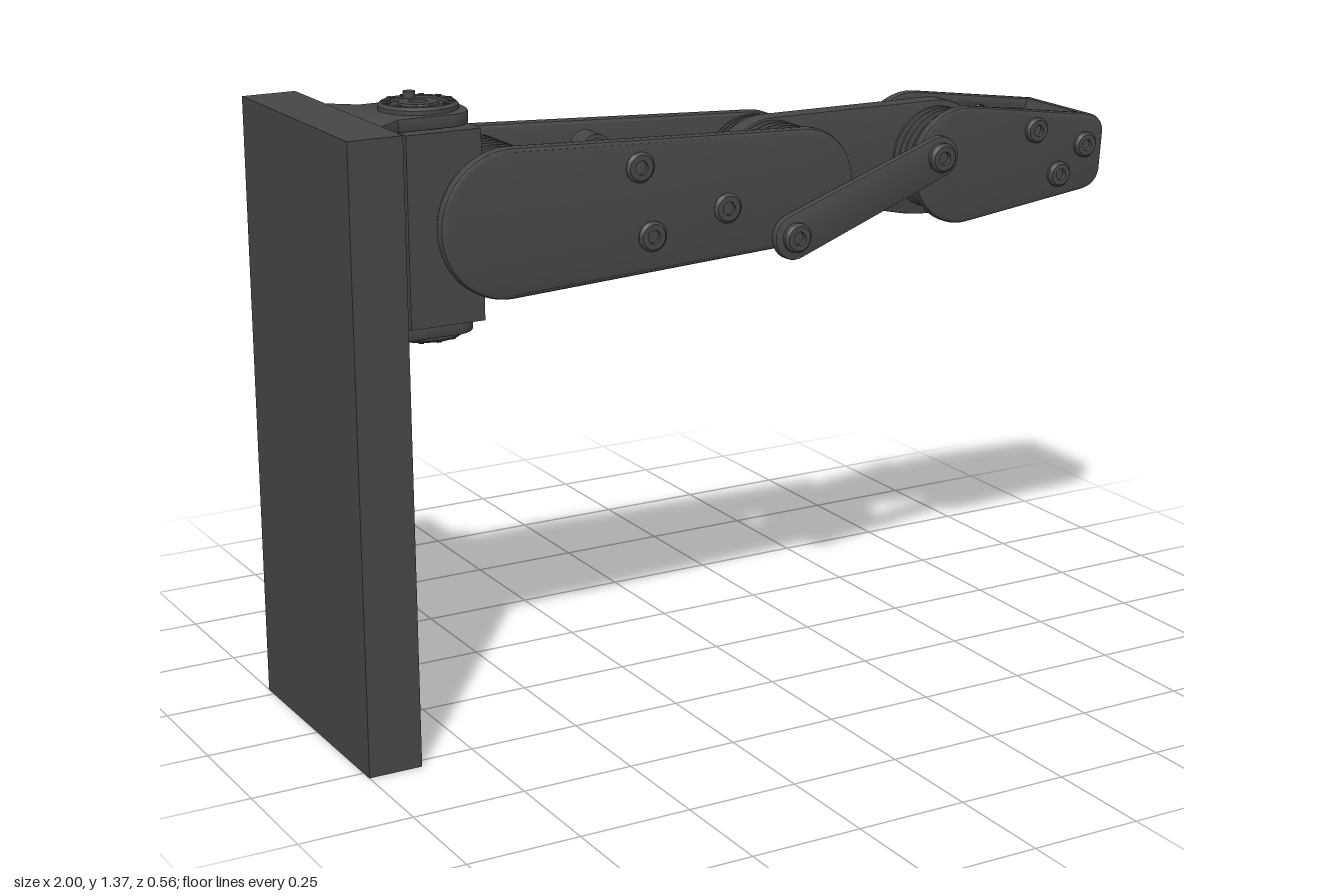
import * as THREE from 'three';
import { toCreasedNormals } from 'three/addons/utils/BufferGeometryUtils.js';

export function createModel() {
  const root = new THREE.Group();
  root.name = 'roboticFinger';
  const graphite = new THREE.MeshStandardMaterial({ color: 0x464646 });
  graphite.name = 'graphite';

  const add = (name, geo) => {
    const m = new THREE.Mesh(toCreasedNormals(geo, 0.6), graphite);
    m.name = name;
    root.add(m);
    return m;
  };
  const box = (name, x0, x1, y0, y1, z0, z1) => add(name,
    new THREE.BoxGeometry(x1 - x0, y1 - y0, z1 - z0)
      .translate((x0 + x1) / 2, (y0 + y1) / 2, (z0 + z1) / 2));

  // Flat part in the xy plane between two depths, with a bevelled rim
  const slab = (shape, z0, z1, bevel = 0.006) => new THREE.ExtrudeGeometry(shape, {
    depth: z1 - z0 - 2 * bevel, bevelEnabled: bevel > 0, bevelSize: bevel,
    bevelThickness: bevel, bevelOffset: -bevel, bevelSegments: 2, curveSegments: 20,
  }).translate(0, 0, z0 + bevel);

  // Outline wrapped around two circles
  const wrap = (x1, y1, r1, x2, y2, r2) => {
    const t = Math.atan2(y2 - y1, x2 - x1);
    const a = Math.acos((r1 - r2) / Math.hypot(x2 - x1, y2 - y1));
    const s = new THREE.Shape();
    s.absarc(x2, y2, r2, t - a, t + a, false);
    s.absarc(x1, y1, r1, t + a, t - a + 2 * Math.PI, false);
    return s;
  };

  const lathe = (pts, seg = 40) =>
    new THREE.LatheGeometry(pts.map(([r, h]) => new THREE.Vector2(r, h)), seg);
  const pin = (name, x, y, r, z0, z1) => add(name,
    new THREE.CylinderGeometry(r, r, z1 - z0, 28).rotateX(Math.PI / 2).translate(x, y, (z0 + z1) / 2));

  // Screw head with a socket, facing +z or -z
  const screw = (name, x, y, z, r, h, side = 1) => add(name,
    lathe([[r, 0], [r, h * 0.6], [r * 0.82, h], [r * 0.45, h], [r * 0.45, h * 0.3], [0, h * 0.3]], 24)
      .rotateX(side * Math.PI / 2).translate(x, y, z));

  // Stack of grooved cable discs about a z axis
  const pulley = (name, x, y, r, z0, z1, grooves) => {
    const pts = [[0, z0]];
    const step = (z1 - z0) / grooves;
    for (let i = 0; i < grooves; i++) {
      const z = z0 + i * step;
      pts.push([r, z], [r, z + step * 0.3], [r - 0.022, z + step * 0.45], [r - 0.022, z + step * 0.85]);
    }
    pts.push([r, z1 - step * 0.12], [r, z1], [0, z1]);
    add(name, lathe(pts, 48).rotateX(Math.PI / 2).translate(x, y, 0));
  };

  // Mounting wall
  box('mountingPlate', -1, -0.88, 0, 1.35, -0.28, 0.28);

  // Flared brackets and pivot hubs, above and below the knuckle
  const bracket = new THREE.Shape();
  bracket.moveTo(-0.885, -0.16);
  bracket.lineTo(-0.81, -0.1);
  bracket.lineTo(-0.68, -0.1);
  bracket.quadraticCurveTo(-0.625, -0.09, -0.625, 0);
  bracket.quadraticCurveTo(-0.625, 0.09, -0.68, 0.1);
  bracket.lineTo(-0.81, 0.1);
  bracket.lineTo(-0.885, 0.16);
  bracket.closePath();
  const midY = 1.108;
  for (const s of [1, -1]) {
    const where = s > 0 ? 'upper' : 'lower';
    add(where + 'Bracket', slab(bracket, -0.014, 0.014, 0.003)
      .rotateX(Math.PI / 2).translate(0, midY + s * 0.222, 0));
    const hub = lathe([[0.085, 0], [0.085, 0.04], [0.078, 0.046], [0.062, 0.046], [0.062, 0.038],
      [0.045, 0.038], [0.042, 0.046], [0.02, 0.046], [0.02, 0.03], [0, 0.03]]);
    if (s < 0) hub.rotateX(Math.PI);
    add(where + 'PivotHub', hub.translate(-0.72, midY + s * 0.205, 0));
    // ring of notch teeth round the hub
    for (let i = 0; i < 12; i++) {
      const a = i * Math.PI / 6;
      add(where + 'HubTooth', new THREE.BoxGeometry(0.014, 0.006, 0.012).rotateY(-a)
        .translate(-0.72 + 0.07 * Math.cos(a), midY + s * 0.25, 0.07 * Math.sin(a)));
    }
    add(where + 'StopPin', new THREE.CylinderGeometry(0.02, 0.02, 0.07, 20)
      .translate(-0.65, midY + s * 0.195, -0.095));
  }
  add('pivotTopPin', new THREE.CylinderGeometry(0.013, 0.013, 0.04, 16).translate(-0.72, 1.353, -0.045));

  // Knuckle turning between the brackets
  box('knuckle', -0.8, -0.63, 0.9, 1.312, -0.113, 0.113);
  pulley('basePulley', -0.58, midY, 0.155, -0.085, 0.085, 7);
  for (const s of [1, -1]) {
    pin('basePulleyHub', -0.58, midY, 0.115, s > 0 ? 0.085 : -0.13, s > 0 ? 0.125 : -0.085);
    pin('basePulleyCollar', -0.58, midY, 0.14, s * 0.1 - 0.007, s * 0.1 + 0.007);
  }

  // First segment: two long side plates that lean inwards towards the joint
  const longSide = wrap(-0.58, midY, 0.163, 0.15, 1.105, 0.131);
  for (const s of [1, -1]) {
    const geo = slab(longSide, -0.015, 0.015, 0.01);
    const p = geo.attributes.position;
    for (let i = 0; i < p.count; i++) {
      const t = THREE.MathUtils.clamp((p.getX(i) + 0.57) / 0.7, 0, 1);
      p.setZ(i, p.getZ(i) + s * (0.137 - 0.02 * t) - 0.004);
    }
    geo.computeVertexNormals();
    add(s > 0 ? 'firstSegmentFrontPlate' : 'firstSegmentBackPlate', geo);
  }
  for (const [x, y, z] of [[-0.27, 1.195, 0.132], [-0.24, 1.04, 0.131], [-0.05, 1.08, 0.126]]) {
    pin('spacerPost', x, y, 0.028, -0.12, 0.12);
    screw('spacerScrew', x, y, z, 0.034, 0.016);
  }
  pin('spacerSleeve', -0.27, 1.195, 0.038, -0.12, -0.06);
  box('firstSegmentFloor', -0.37, -0.02, 0.975, 0.995, -0.12, 0.11);
  box('firstSegmentWeb', -0.37, -0.35, 0.975, 1.12, -0.12, 0.11);

  // Middle joint pulleys on either side of the link
  pulley('middlePulleyBack', 0.15, 1.105, 0.125, -0.105, -0.062, 3);
  pulley('middlePulleyFront', 0.15, 1.105, 0.125, -0.018, 0.095, 5);
  pin('middleAxle', 0.15, 1.105, 0.05, -0.13, 0.12);

  // Second segment: a central link with an arched underside
  const link = new THREE.Shape();
  link.moveTo(0.15, 0.974);
  link.bezierCurveTo(0.3, 0.96, 0.3, 0.995, 0.39, 0.993);
  link.bezierCurveTo(0.48, 0.99, 0.5, 0.965, 0.6, 0.966);
  link.absarc(0.6, 1.1, 0.134, -Math.PI / 2, Math.PI / 2, false);
  link.lineTo(0.15, 1.236);
  link.absarc(0.15, 1.105, 0.131, Math.PI / 2, Math.PI * 1.5, false);
  add('secondSegmentLink', slab(link, -0.065, -0.015, 0.004));

  // Outer joint pulleys
  pulley('outerPulleyBack', 0.6, 1.1, 0.12, -0.115, -0.065, 3);
  pulley('outerPulleyFront', 0.6, 1.1, 0.12, -0.015, 0.07, 4);
  pin('outerAxle', 0.6, 1.1, 0.05, -0.13, 0.09);

  // Coupling bars crossing both joints
  const bar = wrap(0.118, 0.997, 0.052, 0.503, 1.137, 0.048);
  for (const s of [1, -1]) {
    const z = s > 0 ? 0.137 : -0.168;
    const side = s > 0 ? 'front' : 'back';
    add(side + 'CouplingBar', slab(bar, z - 0.011, z + 0.011, 0.005));
    for (const [x, y] of [[0.118, 0.997], [0.503, 1.137]]) {
      screw(side + 'BarScrew', x, y, z + s * 0.01, 0.034, 0.018, s);
      pin(side + 'BarSpacer', x, y, 0.03, Math.min(z, s * 0.09), Math.max(z, s * 0.09));
    }
  }

  // Fingertip: side plates with three fixing holes, and a closed end block
  const fixings = [[0.8, 1.163], [0.868, 1.052], [0.942, 1.115]];
  const tipSide = () => {
    const s = new THREE.Shape();
    s.absarc(0.6, 1.1, 0.136, Math.PI * 0.46, Math.PI * 1.53, false);
    s.lineTo(0.94, 1.005);
    s.quadraticCurveTo(0.985, 1.01, 0.993, 1.05);
    s.lineTo(1, 1.14);
    s.quadraticCurveTo(1, 1.175, 0.96, 1.186);
    s.closePath();
    return s;
  };
  add('fingertipFrontPlate', slab(tipSide(), 0.075, 0.102, 0.009));
  const holed = tipSide();
  for (const [x, y] of fixings) {
    holed.holes.push(new THREE.Path().absarc(x, y, 0.02, 0, Math.PI * 2, true));
    screw('fingertipScrew', x, y, 0.1, 0.03, 0.016);
    pin('fingertipPost', x, y, 0.014, -0.135, 0.09);
  }
  add('fingertipBackPlate', slab(holed, -0.148, -0.12, 0.009));

  const core = new THREE.Shape();
  core.moveTo(0.775, 0.99);
  core.lineTo(0.94, 1.005);
  core.quadraticCurveTo(0.985, 1.01, 0.993, 1.05);
  core.lineTo(1, 1.14);
  core.quadraticCurveTo(1, 1.175, 0.96, 1.186);
  core.lineTo(0.94, 1.188);
  core.lineTo(0.93, 1.165);
  core.lineTo(0.775, 1.185);
  core.closePath();
  add('fingertipBlock', slab(core, -0.13, 0.085, 0));

  return root;
}
